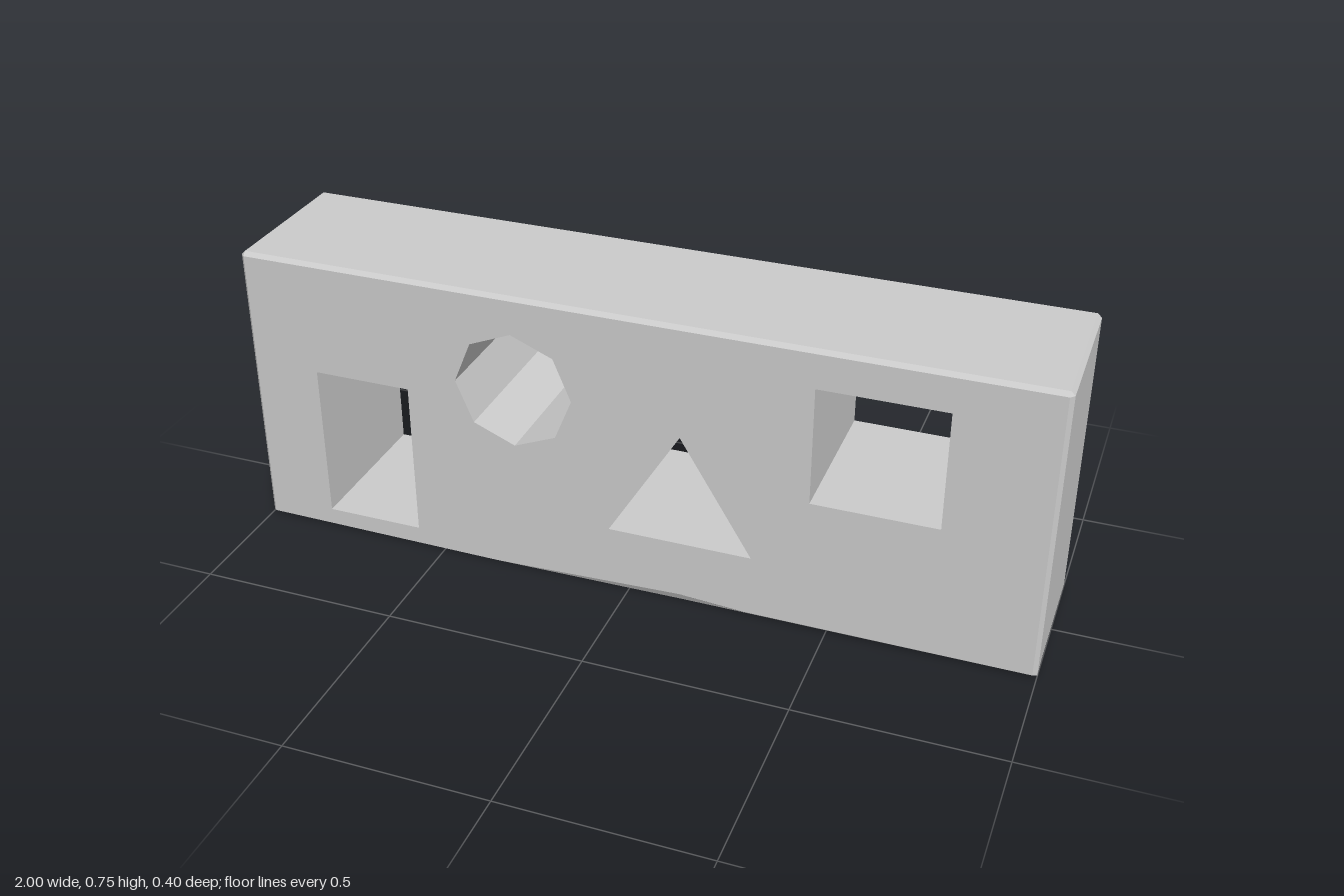
import * as THREE from 'three';

const HALF_DEPTH = 0.2, BEVEL = 0.01, HEIGHT = 0.75;

// Outline of the block, counter-clockwise, with chamfered corners.
// inset shrinks it, lift raises the lower corners, dent shapes the underside.
function outline(inset, lift, dent) {
  const x = 1 - inset, top = HEIGHT - inset, c = BEVEL;
  const base = dent ? [0.003, 0.02, 0.009] : [0, 0, 0];
  const ends = dent ? 0.008 : 0;
  return [
    [-x + c - inset, ends], [-0.35, base[0]], [0.13, base[1]], [0.3, base[2]], [x - c + inset, ends],
    [x, lift], [x, top - c + inset], [x - c + inset, top],
    [-x + c - inset, top], [-x, top - c + inset], [-x, lift],
  ].map(([px, py]) => new THREE.Vector2(THREE.MathUtils.clamp(px, -x, x), py));
}

// Flat-sided skin through rings of points, ordered from front to back
function loft(rings, inward = false) {
  const pos = [];
  for (let r = 0; r + 1 < rings.length; r++) {
    const A = rings[r], B = rings[r + 1], n = A.points.length;
    for (let i = 0; i < n; i++) {
      const j = (i + 1) % n;
      const a = [A.points[i].x, A.points[i].y, A.z], b = [A.points[j].x, A.points[j].y, A.z];
      const c = [B.points[j].x, B.points[j].y, B.z], d = [B.points[i].x, B.points[i].y, B.z];
      const order = inward ? [a, b, c, a, c, d] : [a, c, b, a, d, c];
      order.forEach((p) => pos.push(...p));
    }
  }
  const g = new THREE.BufferGeometry();
  g.setAttribute('position', new THREE.Float32BufferAttribute(pos, 3));
  g.computeVertexNormals();
  return g;
}

const points = (list) => list.map(([x, y]) => new THREE.Vector2(x, y));
const rectangle = (x0, x1, y0, y1) => points([[x0, y0], [x1, y0], [x1, y1], [x0, y1]]);

export function createModel() {
  const group = new THREE.Group();
  group.name = 'shapeBlock';
  const material = new THREE.MeshStandardMaterial({ color: 0xcccccc, flatShading: true });
  const add = (name, geometry) => {
    const mesh = new THREE.Mesh(geometry, material);
    mesh.name = name;
    group.add(mesh);
    return mesh;
  };

  // Openings cut straight through from front to back
  const octagon = Array.from({ length: 8 }, (_, i) => {
    const a = (i * Math.PI) / 4;
    return new THREE.Vector2(-0.29 + 0.15 * Math.cos(a), 0.503 + 0.15 * Math.sin(a));
  });
  const holes = {
    rectangleHole: rectangle(-0.82, -0.57, 0.05, 0.453),
    octagonHole: octagon,
    triangleHole: points([[-0.05, 0.168], [0.31, 0.168], [0.13, 0.462]]),
    squareHole: rectangle(0.445, 0.75, 0.353, 0.653),
  };

  // Front and back faces
  const edge = outline(BEVEL, 0.01, true);
  const face = new THREE.Shape(edge);
  for (const pts of Object.values(holes)) face.holes.push(new THREE.Path(pts));
  const frontGeometry = new THREE.ShapeGeometry(face);
  add('frontFace', frontGeometry.clone().translate(0, 0, HALF_DEPTH));
  const backGeometry = frontGeometry.clone().translate(0, 0, -HALF_DEPTH);
  const index = backGeometry.index;
  for (let i = 0; i < index.count; i += 3) {
    const t = index.getX(i);
    index.setX(i, index.getX(i + 1));
    index.setX(i + 1, t);
  }
  backGeometry.computeVertexNormals();
  add('backFace', backGeometry);

  // Top, underside, ends and their chamfers
  add('outerSides', loft([
    { z: HALF_DEPTH, points: edge },
    { z: HALF_DEPTH - BEVEL, points: outline(0, 0.004, false) },
    { z: 0.13, points: outline(0, 0.012, false) },
    { z: -HALF_DEPTH + BEVEL, points: outline(0, 0.004, false) },
    { z: -HALF_DEPTH, points: edge },
  ]));

  // Inner walls of the openings
  for (const [name, pts] of Object.entries(holes)) {
    add(name, loft([{ z: HALF_DEPTH, points: pts }, { z: -HALF_DEPTH, points: pts }], true));
  }
  return group;
}
